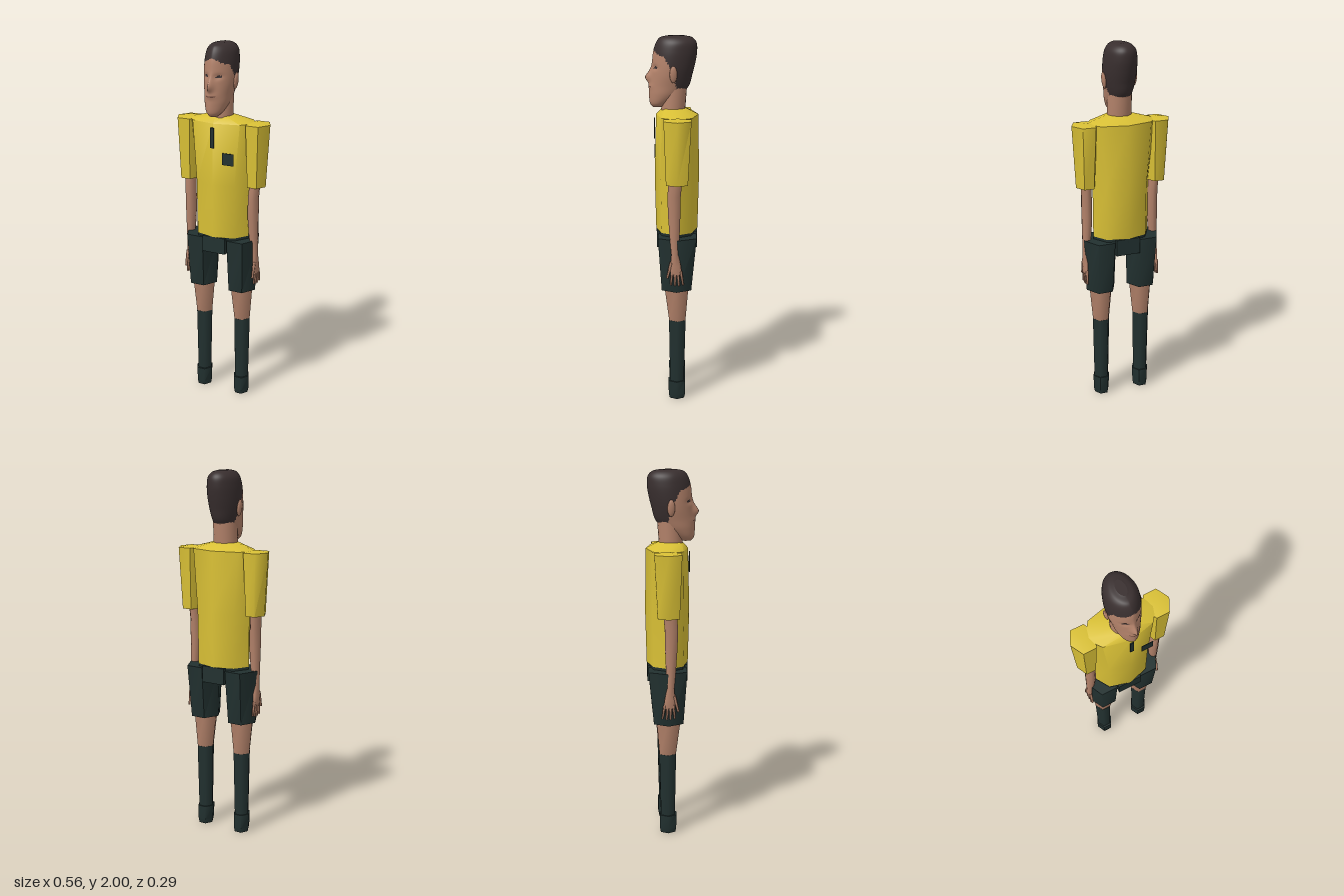
import * as THREE from 'three';
import { toCreasedNormals } from 'three/addons/utils/BufferGeometryUtils.js';

const mat = (name, color, side = THREE.FrontSide) => {
  const m = new THREE.MeshStandardMaterial({ color, side });
  m.name = name;
  return m;
};

// Ring of n points around (cx, cz); front and back depths may differ
function ring(n, y, cx, w, zf, zb, pointed = 1) {
  const cz = (zf + zb) / 2, d = (zf - zb) / 2;
  return Array.from({ length: n }, (_, j) => {
    const a = (j / n) * Math.PI * 2, c = Math.cos(a), s = Math.sin(a);
    const k = s > 0 ? Math.sign(c) * Math.abs(c) ** pointed : c;
    return new THREE.Vector3(cx + w * k, y, cz + d * s);
  });
}

// Skin a stack of rings from bottom to top, with closed ends
function loft(rings, crease = 0) {
  const n = rings[0].length, pos = [], idx = [];
  const add = (p) => pos.push(p.x, p.y, p.z) / 3 - 1;
  rings.forEach((r) => r.forEach(add));
  for (let i = 0; i < rings.length - 1; i++) {
    for (let j = 0; j < n; j++) {
      const a = i * n + j, b = i * n + ((j + 1) % n);
      idx.push(a, a + n, b, b, a + n, b + n);
    }
  }
  [rings[0], rings[rings.length - 1]].forEach((r, top) => {
    const mid = r.reduce((m, p) => m.add(p), new THREE.Vector3()).divideScalar(n);
    const c = add(mid), first = c + 1;
    r.forEach(add);
    for (let j = 0; j < n; j++) {
      const p = first + j, q = first + ((j + 1) % n);
      idx.push(c, top ? q : p, top ? p : q);
    }
  });
  const g = new THREE.BufferGeometry();
  g.setAttribute('position', new THREE.Float32BufferAttribute(pos, 3));
  g.setIndex(idx);
  g.computeVertexNormals();
  return crease ? toCreasedNormals(g, crease) : g;
}

// Six-sided tube from rows of [y, x, halfWidth, zFront, zBack]; flat sides face front and back
const hexTube = (s, rows) => loft(rows.map(([y, x, w, zf, zb]) => {
  const c = (zf + zb) / 2, d = (zf - zb) / 2 / 0.866;
  return ring(6, y, s * x, w, c + d, c - d);
}), 1.1);

const bump = (x, y, cx, cy, sx, sy) => Math.exp(-(((x - cx) / sx) ** 2) - ((y - cy) / sy) ** 2);

// Smooth head with nose, eye sockets and a hairline
function headGeometry() {
  // [y, halfWidth, zFront, zBack]
  const key = [
    [1.625, 0.022, 0.11, 0.05], [1.645, 0.042, 0.124, 0.02], [1.69, 0.062, 0.128, -0.045],
    [1.74, 0.072, 0.125, -0.085], [1.8, 0.083, 0.117, -0.102], [1.86, 0.087, 0.112, -0.117],
    [1.92, 0.085, 0.105, -0.126], [1.965, 0.076, 0.09, -0.122], [1.99, 0.055, 0.07, -0.1],
    [2.0, 0.025, 0.03, -0.06],
  ];
  const body = new THREE.CatmullRomCurve3(key.map((k) => new THREE.Vector3(k[1], k[0], k[2])));
  const back = new THREE.CatmullRomCurve3(key.map((k) => new THREE.Vector3(0, k[0], k[3])));
  const rows = 80, rings = [];
  for (let i = 0; i <= rows; i++) {
    const p = body.getPoint(i / rows), q = back.getPoint(i / rows);
    const r = ring(64, p.y, 0, p.x, p.z, q.z, 1.25);
    r.forEach((v) => {
      if (v.z < 0.04) return;
      v.z += 0.026 * bump(v.x, v.y, 0, 1.78, 0.016, 0.025) + 0.01 * bump(v.x, v.y, 0, 1.81, 0.012, 0.03);
      v.z += 0.006 * bump(v.x, v.y, 0, 1.735, 0.03, 0.015);
      v.z -= 0.009 * bump(Math.abs(v.x), v.y, 0.035, 1.835, 0.02, 0.014);
    });
    rings.push(r);
  }
  const g = loft(rings), P = g.attributes.position, src = g.index.array;
  const sets = [[], [], []];
  for (let t = 0; t < src.length; t += 3) {
    const f = [src[t], src[t + 1], src[t + 2]];
    const avg = (fn) => f.reduce((s, i) => s + fn.call(P, i), 0) / 3;
    const x = Math.abs(avg(P.getX)), y = avg(P.getY), z = avg(P.getZ);
    let line = 1.9 + 0.03 * Math.max(0, 1 - x / 0.06);
    if (z < 0.045) line = THREE.MathUtils.mapLinear(z, 0.045, 0.005, 1.89, 1.82);
    if (z < 0.005) line = THREE.MathUtils.mapLinear(Math.max(z, -0.02), 0.005, -0.02, 1.82, 1.725);
    const eye = z > 0.03 && ((x - 0.036) / 0.014) ** 2 + ((y - 1.835) / 0.007) ** 2 < 1;
    const mouth = z > 0.05 && x < 0.028 && Math.abs(y - 1.733) < 0.004;
    sets[y > line || eye ? 1 : mouth ? 2 : 0].push(...f);
  }
  g.setIndex(sets.flat());
  let start = 0;
  sets.forEach((s, i) => { g.addGroup(start, s.length, i); start += s.length; });
  return g;
}

export function createModel() {
  const model = new THREE.Group();
  model.name = 'referee';
  const shirt = mat('yellow shirt', 0xdac136);
  const dark = mat('dark green cloth', 0x223130);
  const skin = mat('skin', 0xb3826a);
  const hair = mat('dark hair', 0x392f2f);
  const lips = mat('lips', 0x6f4a3e);
  const add = (name, geo, m, parent = model) => {
    const mesh = new THREE.Mesh(geo, m);
    mesh.name = name;
    parent.add(mesh);
    return mesh;
  };

  // Head, neck and ears
  add('head', headGeometry(), [skin, hair, lips]);
  add('neck', loft([ring(20, 1.58, 0, 0.066, 0.066, -0.062), ring(20, 1.76, 0, 0.064, 0.055, -0.075)], 0.9), skin);

  // Shirt body with sloping shoulders
  add('shirtBody', loft([
    ring(8, 0.955, 0, 0.16, 0.093, -0.133), ring(8, 1.25, 0, 0.162, 0.1, -0.14),
    ring(8, 1.585, 0, 0.2, 0.092, -0.135), ring(8, 1.62, 0, 0.07, 0.06, -0.065),
  ], 0.9), shirt);
  add('placket', new THREE.BoxGeometry(0.02, 0.11, 0.006), dark).position.set(0, 1.51, 0.1);
  add('chestPocket', new THREE.BoxGeometry(0.066, 0.064, 0.004), dark).position.set(0.092, 1.402, 0.096);

  // Waistband and seat of the shorts
  add('waistband', loft([ring(8, 0.935, 0, 0.158, 0.091, -0.131), ring(8, 0.956, 0, 0.159, 0.092, -0.132)], 0.9), dark);
  add('shortsSeat', new THREE.BoxGeometry(0.136, 0.09, 0.218), dark).position.set(0, 0.908, -0.021);

  for (const s of [1, -1]) {
    const side = s > 0 ? 'left' : 'right';
    const ear = add(side + 'Ear', new THREE.SphereGeometry(1, 12, 10), skin);
    ear.scale.set(0.011, 0.045, 0.02);
    ear.position.set(s * 0.087, 1.805, -0.002);
    ear.rotation.z = -s * 0.12;

    // Sleeve and arm
    const arm = new THREE.Group();
    arm.name = side + 'Arm';
    model.add(arm);
    add('sleeve', hexTube(s, [
      [1.245, 0.203, 0.054, 0.035, -0.08], [1.583, 0.205, 0.073, 0.047, -0.097], [1.594, 0.205, 0.004, -0.023, -0.027],
    ]), shirt, arm);
    add('armSkin', loft([
      [0.75, 0.208, 0.01, 0.012, -0.052], [0.8, 0.207, 0.014, 0.014, -0.045], [0.86, 0.203, 0.016, 0.008, -0.032],
      [0.96, 0.195, 0.025, 0.018, -0.038], [1.07, 0.192, 0.029, 0.026, -0.042],
      [1.18, 0.193, 0.028, 0.03, -0.044], [1.3, 0.2, 0.026, 0.02, -0.055],
    ].map(([y, x, w, zf, zb]) => ring(10, y, s * x, w, zf, zb))), skin, arm);
    for (let i = 0; i < 4; i++) {
      const finger = add('finger', new THREE.CylinderGeometry(0.008, 0.005, 0.078, 6), skin, arm);
      finger.position.set(s * 0.209, 0.723 + Math.abs(i - 1.5) * 0.005, 0.006 - i * 0.0185);
      finger.rotation.x = (i - 1.2) * 0.09;
    }
    const thumb = add('thumb', new THREE.CylinderGeometry(0.009, 0.006, 0.09, 6), skin, arm);
    thumb.position.set(s * 0.209, 0.775, 0.018);
    thumb.rotation.x = -0.25;

    // Shorts leg, bare knee, sock and boot
    const leg = new THREE.Group();
    leg.name = side + 'Leg';
    model.add(leg);
    add('shortsLeg', hexTube(s, [[0.645, 0.12, 0.082, 0.06, -0.1], [0.94, 0.122, 0.095, 0.08, -0.128]]), dark, leg);
    add('knee', hexTube(s, [[0.45, 0.12, 0.047, 0.018, -0.068], [0.7, 0.118, 0.071, 0.05, -0.088]]), skin, leg);
    add('sock', hexTube(s, [
      [0.02, 0.12, 0.04, 0.013, -0.06], [0.12, 0.12, 0.042, 0.015, -0.062], [0.465, 0.12, 0.049, 0.021, -0.07],
    ]), dark, leg);
    add('boot', hexTube(s, [
      [0, 0.12, 0.04, 0.017, -0.063], [0.025, 0.12, 0.045, 0.022, -0.068], [0.105, 0.12, 0.048, 0.025, -0.068],
    ]), dark, leg);
  }
  return model;
}
